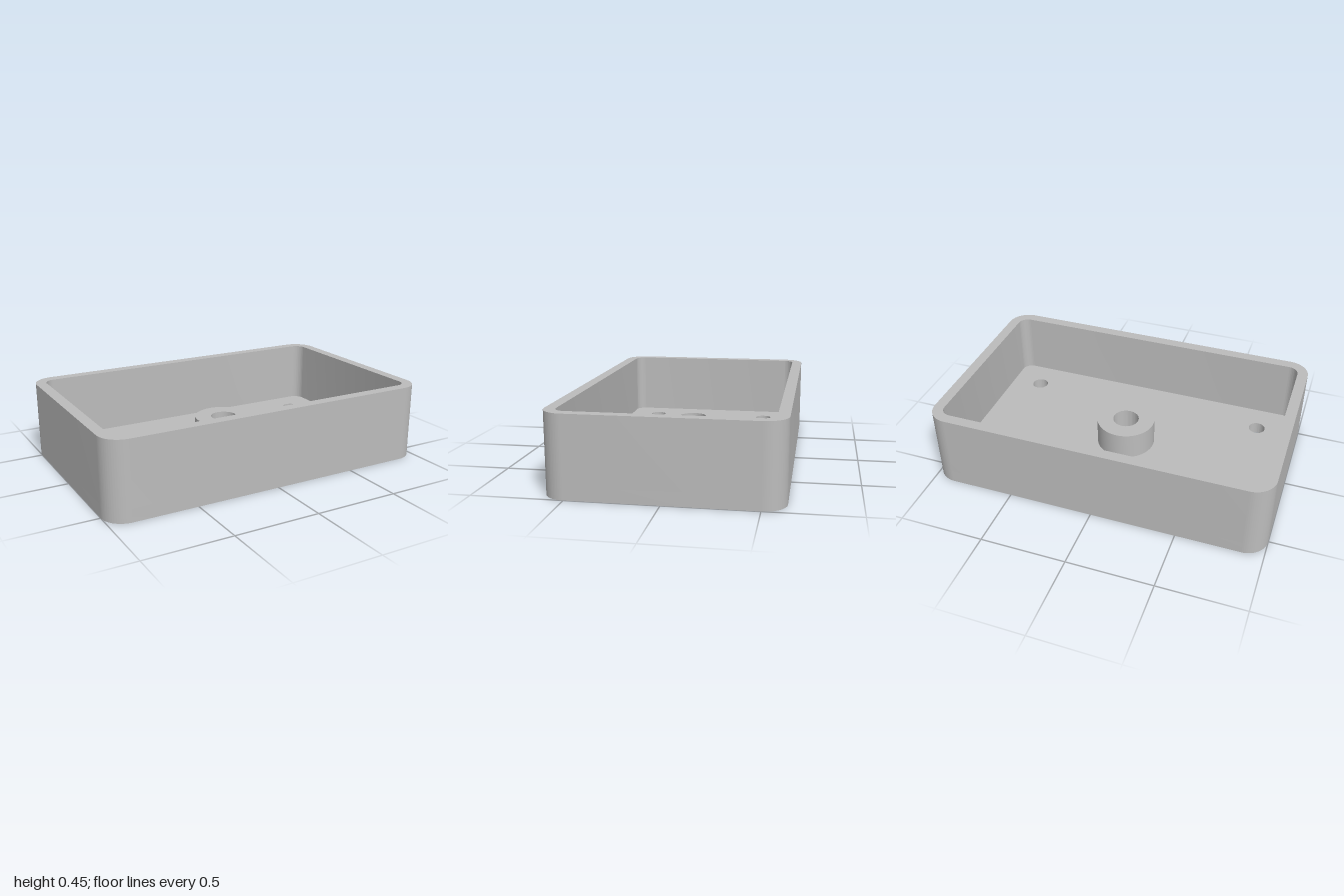
import * as THREE from 'three';
import { toCreasedNormals } from 'three/addons/utils/BufferGeometryUtils.js';

const LENGTH = 2, DEPTH = 1.25, HEIGHT = 0.45;
const WALL = 0.0625, FLOOR = 0.075, CORNER = 0.125;
const BOSS_TOP = 0.2375;

// Rounded rectangle outline centred on the origin
function roundedRect(target, w, d, r) {
  const x = w / 2, y = d / 2;
  target.moveTo(x, -y + r);
  target.absarc(x - r, y - r, r, 0, Math.PI / 2);
  target.absarc(-x + r, y - r, r, Math.PI / 2, Math.PI);
  target.absarc(-x + r, -y + r, r, Math.PI, Math.PI * 1.5);
  target.absarc(x - r, -y + r, r, Math.PI * 1.5, Math.PI * 2);
  return target;
}

function circle(target, x, y, r) {
  target.absarc(x, y, r, 0, Math.PI * 2);
  return target;
}

// Upright extrusion from y0 to y1, smooth round curves with sharp rims
function upright(name, shape, y0, y1, material) {
  const extruded = new THREE.ExtrudeGeometry(shape, {
    depth: y1 - y0, bevelEnabled: false, curveSegments: 32,
  });
  extruded.rotateX(-Math.PI / 2).translate(0, y0, 0);
  const mesh = new THREE.Mesh(toCreasedNormals(extruded, Math.PI / 6), material);
  mesh.name = name;
  return mesh;
}

export function createModel() {
  const group = new THREE.Group();
  group.name = 'openEnclosure';
  const grey = new THREE.MeshStandardMaterial({ color: 0xbcbcbc });
  grey.name = 'grey';

  // Floor plate with four through holes
  const floor = roundedRect(new THREE.Shape(), LENGTH, DEPTH, CORNER);
  for (const sx of [-1, 1]) {
    for (const sz of [-1, 1]) {
      floor.holes.push(circle(new THREE.Path(), sx * 0.75, sz * 0.375, 0.05));
    }
  }
  group.add(upright('floor', floor, 0, FLOOR, grey));

  // Continuous side wall
  const wall = roundedRect(new THREE.Shape(), LENGTH, DEPTH, CORNER);
  wall.holes.push(roundedRect(new THREE.Path(), LENGTH - 2 * WALL, DEPTH - 2 * WALL, CORNER - WALL));
  group.add(upright('sideWall', wall, FLOOR, HEIGHT, grey));

  // Central boss with a blind bore
  const boss = circle(new THREE.Shape(), 0, 0, 0.175);
  boss.holes.push(circle(new THREE.Path(), 0, 0, 0.078));
  group.add(upright('centreBoss', boss, FLOOR, BOSS_TOP, grey));

  return group;
}
